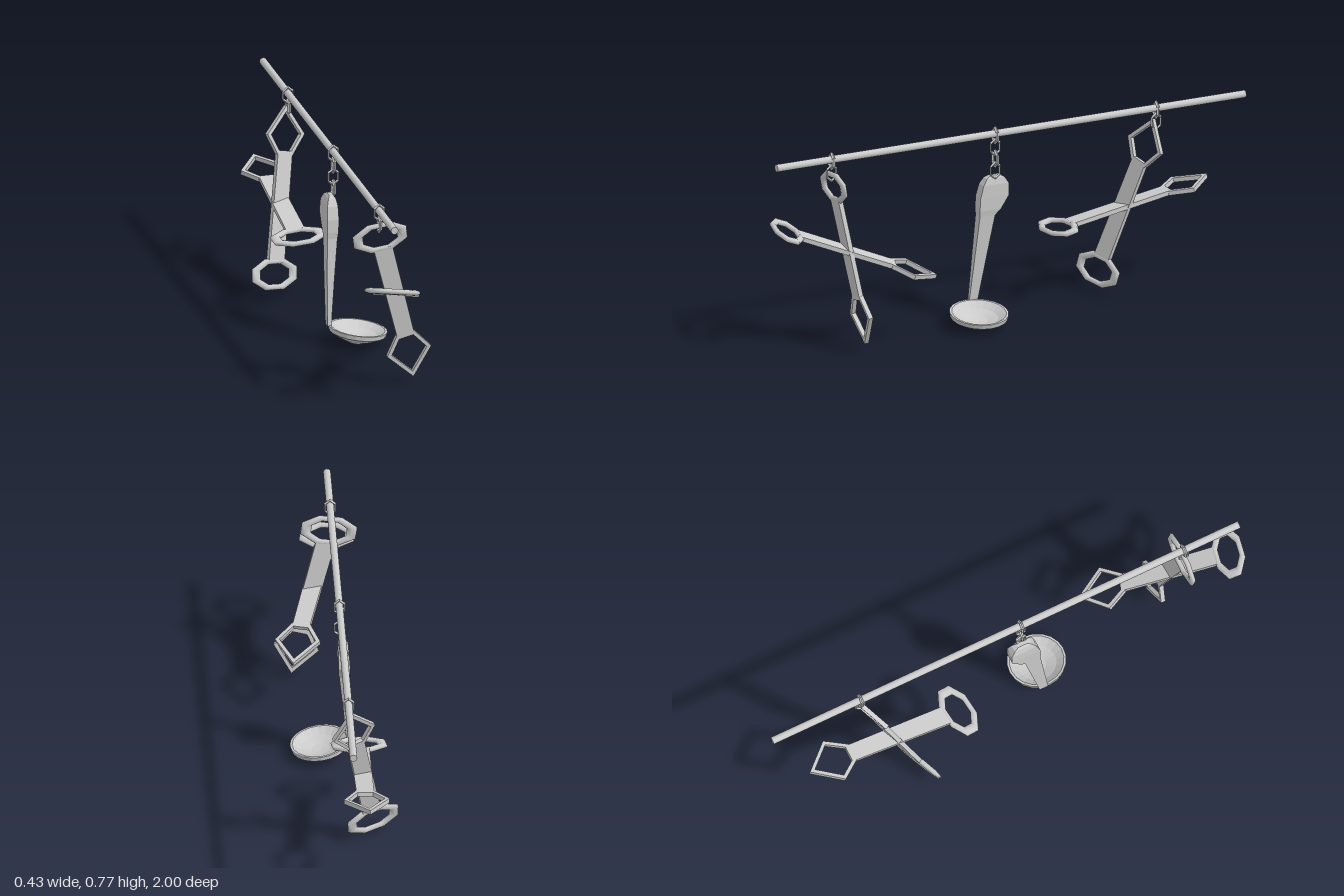
import * as THREE from 'three';

const flat = new THREE.MeshStandardMaterial({ color: 0xcccccc, flatShading: true });
const smooth = new THREE.MeshStandardMaterial({ color: 0xcccccc });
const RAIL_X = -0.013, RAIL_Y = 0.744;

function mesh(name, geometry, material = flat) {
  const m = new THREE.Mesh(geometry, material);
  m.name = name;
  return m;
}

// Flat plate from counter-clockwise outline points, centred on its thickness
function plate(points, depth, hole) {
  const toV = ([x, y]) => new THREE.Vector2(x, y);
  const shape = new THREE.Shape(points.map(toV));
  if (hole) shape.holes.push(new THREE.Path(hole.map(toV)));
  return new THREE.ExtrudeGeometry(shape, { depth, bevelEnabled: false }).translate(0, 0, -depth / 2);
}

// Chain of hexagonal links, each turned a quarter from the last
function makeChain(z, count) {
  const chain = new THREE.Group();
  chain.name = 'chain';
  for (let i = 0; i < count; i++) {
    const geo = new THREE.TorusGeometry(0.032, 0.0064, 4, 6).rotateZ(Math.PI / 2).scale(0.68, 1, 1);
    const link = mesh('chainLink', geo);
    link.position.set(RAIL_X, 0.737 - i * 0.047, z);
    link.rotation.y = (i % 2) * Math.PI / 2;
    chain.add(link);
  }
  return chain;
}

// One tong arm: finger ring at +y, flat bar, open pentagon at -y, pivot at the origin
function makeArm(across, along, ringY) {
  const arm = new THREE.Group();
  arm.name = 'tongArm';

  const ring = mesh('fingerRing',
    new THREE.TorusGeometry(0.095, 0.0215, 8, 8).rotateZ(Math.PI / 8).scale(0.99, 0.56, 0.5), smooth);
  ring.position.y = ringY;
  ring.rotation.z = -0.12;
  arm.add(ring);

  const top = ringY - 0.047;
  arm.add(mesh('bar', plate([[-0.034, -0.185], [0.034, -0.185], [0.037, top], [-0.037, top]], 0.018)));

  const outer = [[-0.036, -0.18], [-0.09, -0.252], [-0.011, -0.368], [0.085, -0.265], [0.036, -0.18]];
  const cy = -0.255;
  const inner = outer.map(([x, y]) => [x * 0.8, cy + (y - cy) * 0.8]);
  arm.add(mesh('pentagonEnd', plate(outer, 0.018, inner)));

  // Orient by the across and along directions
  const v = new THREE.Vector3(...along).normalize();
  const w = new THREE.Vector3(...across);
  w.addScaledVector(v, -w.dot(v)).normalize();
  const n = new THREE.Vector3().crossVectors(w, v);
  arm.quaternion.setFromRotationMatrix(new THREE.Matrix4().makeBasis(w, v, n));
  return arm;
}

function makeTongs(name, pivot, arms, ringY) {
  const tongs = new THREE.Group();
  tongs.name = name;
  for (const [across, along] of arms) tongs.add(makeArm(across, along, ringY));
  tongs.position.set(...pivot);
  return tongs;
}

// Ladle handle lofted through rectangular sections: [y, centre x, half x, centre z, half z]
function ladleHandle() {
  const sections = [
    [0.072, -0.052, 0.007, 0.132, 0.018],
    [0.25, -0.043, 0.014, 0.109, 0.025],
    [0.415, -0.033, 0.020, 0.088, 0.032],
    [0.44, -0.031, 0.022, 0.077, 0.045],
    [0.49, -0.030, 0.023, 0.060, 0.060],
    [0.54, -0.028, 0.021, 0.054, 0.053],
    [0.565, -0.026, 0.015, 0.054, 0.037],
    [0.575, -0.025, 0.008, 0.055, 0.020],
  ];
  const corners = [[1, 1], [-1, 1], [-1, -1], [1, -1]];
  const pos = [], idx = [], n = corners.length, top = (sections.length - 1) * n;
  for (const [y, x, hx, z, hz] of sections) for (const [a, b] of corners) pos.push(x + a * hx, y, z + b * hz);
  for (let s = 0; s < top; s += n) {
    for (let i = 0; i < n; i++) {
      const a = s + i, b = s + (i + 1) % n;
      idx.push(a, a + n, b, b, a + n, b + n);
    }
  }
  // End caps
  idx.push(0, 1, 2, 0, 2, 3, top, top + 2, top + 1, top, top + 3, top + 2);
  const geo = new THREE.BufferGeometry();
  geo.setAttribute('position', new THREE.Float32BufferAttribute(pos, 3));
  geo.setIndex(idx);
  geo.computeVertexNormals();
  return geo;
}

function makeLadle() {
  const ladle = new THREE.Group();
  ladle.name = 'ladle';
  ladle.add(mesh('ladleHandle', ladleHandle()));
  // Shallow bowl with an upright rim, tipped away from the handle
  const profile = [[0, -0.061], [0.035, -0.056], [0.075, -0.038], [0.111, -0.018], [0.114, 0],
    [0.105, 0], [0.075, -0.021], [0.035, -0.035], [0, -0.039]];
  const bowl = mesh('ladleBowl', new THREE.LatheGeometry(profile.map(([x, y]) => new THREE.Vector2(x, y)), 20));
  bowl.position.set(0.058, 0.061, 0.158);
  bowl.rotation.z = -0.14;
  ladle.add(bowl);
  return ladle;
}

export function createModel() {
  const model = new THREE.Group();
  model.name = 'hangingUtensilRail';

  // Rail
  const rail = mesh('rail', new THREE.CylinderGeometry(0.0145, 0.0145, 1.982, 16).rotateX(Math.PI / 2), smooth);
  rail.position.set(RAIL_X, RAIL_Y, -0.009);
  model.add(rail);

  // Chains
  model.add(makeChain(0.748, 2), makeChain(0.056, 4), makeChain(-0.625, 2));

  // Utensils
  model.add(makeTongs('frontTongs', [0.056, 0.395, 0.714], [
    [[0.96, 0.26, 0.02], [-0.255, 0.96, 0.11]],
    [[0.96, -0.04, 0.3], [-0.27, 0.35, 0.895]],
  ], 0.25));
  model.add(makeLadle());
  model.add(makeTongs('backTongs', [-0.073, 0.35, -0.513], [
    [[0.92, -0.25, -0.33], [-0.16, -0.944, 0.305]],
    [[1, 0.03, 0], [0, -0.168, 0.986]],
  ], 0.277));

  return model;
}
